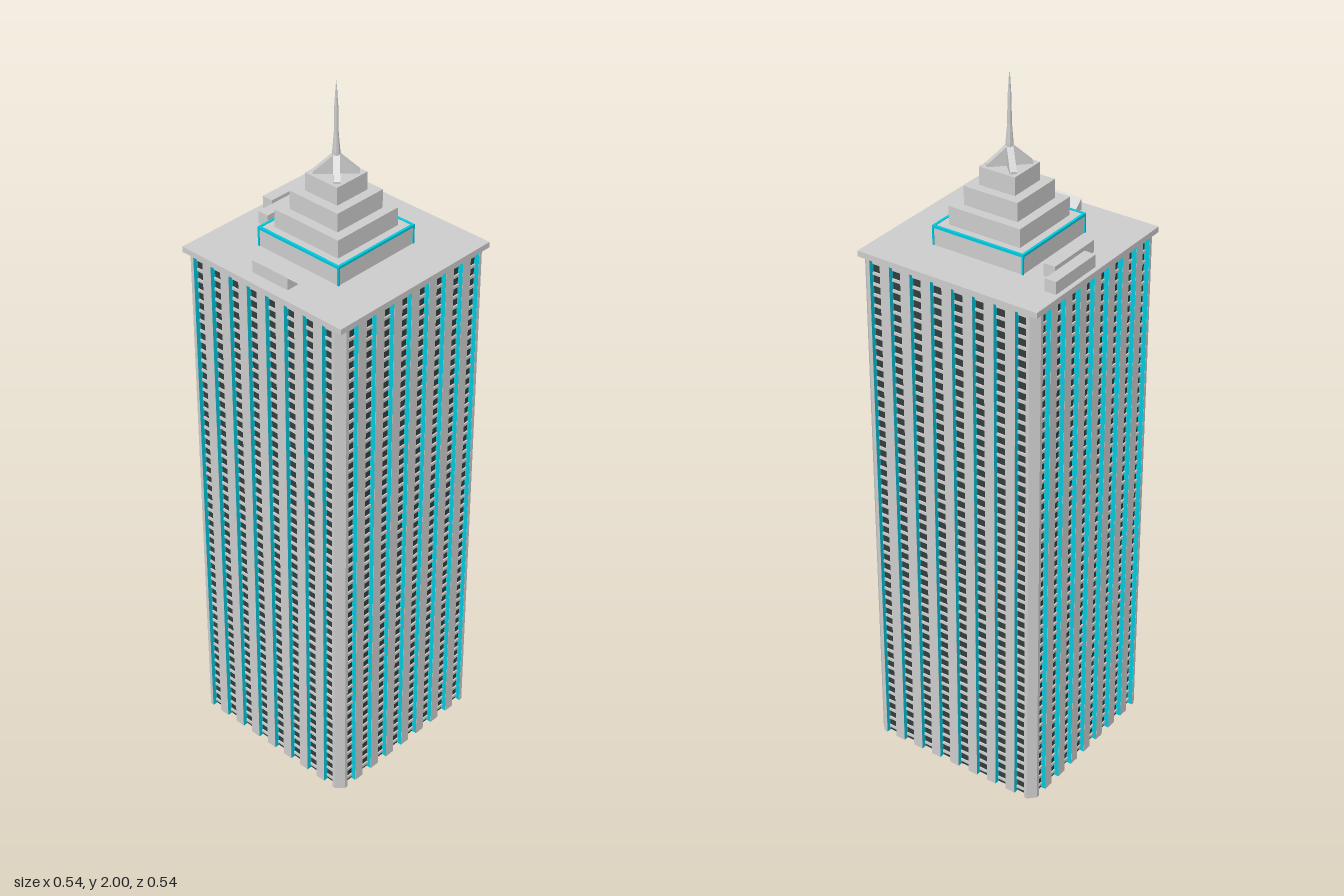
import * as THREE from 'three';
import { mergeGeometries } from 'three/addons/utils/BufferGeometryUtils.js';

const H = 1.53;        // shaft height
const R = 0.267;       // shaft half width
const DEPTH = 0.015;   // how far the piers stand out
const CORE = R - DEPTH;
const PITCH = 0.0635;  // window bay spacing
const PIER = 0.029;    // pier width
const FLOORS = 50;

const grey = new THREE.MeshStandardMaterial({ color: 0xcccccc, flatShading: true });
const cyan = new THREE.MeshStandardMaterial({ color: 0x00c8dc });
const dark = new THREE.MeshStandardMaterial({ color: 0x343c3c });

// Box standing on y0
function box(w, h, d, x, y0, z) {
  return new THREE.BoxGeometry(w, h, d).translate(x, y0 + h / 2, z);
}

// Repeats geometries around the four sides and merges them
function fourSides(list) {
  const out = [];
  for (let i = 0; i < 4; i++) {
    for (const g of list) out.push(g.clone().rotateY(i * Math.PI / 2));
  }
  return mergeGeometries(out);
}

export function createModel() {
  const group = new THREE.Group();
  const add = (name, geometry, material = grey) => {
    const mesh = new THREE.Mesh(geometry, material);
    mesh.name = name;
    group.add(mesh);
  };

  // Dark glass shaft with a ledge at every floor
  add('windowCore', box(2 * CORE, H, 2 * CORE, 0, 0, 0), dark);
  const ledges = [];
  const step = H / FLOORS;
  const ledgeSize = 2 * (CORE + 0.004);
  for (let i = 0; i < FLOORS; i++) {
    ledges.push(box(ledgeSize, 0.008, ledgeSize, 0, (i + 0.5) * step - 0.004, 0));
  }
  add('floorLedges', mergeGeometries(ledges));

  // Vertical piers with coloured flanks
  const piers = [], flanks = [];
  const flank = (x, side) => {
    flanks.push(new THREE.PlaneGeometry(DEPTH, H)
      .rotateY(side * Math.PI / 2)
      .translate(x + side * 0.0006, H / 2, CORE + DEPTH / 2));
  };
  for (let i = -3; i <= 3; i++) {
    const x = i * PITCH;
    piers.push(box(PIER, H, DEPTH + 0.005, x, 0, R - (DEPTH + 0.005) / 2));
    flank(x + PIER / 2, 1);
    flank(x - PIER / 2, -1);
  }
  const inner = 4 * PITCH - PIER / 2 - 0.002;
  flank(inner, -1);
  flank(-inner, 1);
  add('piers', fourSides(piers));
  add('pierFlanks', fourSides(flanks), cyan);

  // Chamfered corner piers
  const cut = 0.247;
  const corner = new THREE.Shape([
    [inner, inner], [R, inner], [R, cut], [cut, R], [inner, R],
  ].map(([x, y]) => new THREE.Vector2(x, y)));
  const cornerGeo = new THREE.ExtrudeGeometry(corner, { depth: H, bevelEnabled: false })
    .rotateX(-Math.PI / 2);
  add('cornerPiers', fourSides([cornerGeo]));

  // Roof slab and stepped crown
  add('roofSlab', box(0.542, 0.016, 0.542, 0, 1.528, 0));
  const tiers = [[0.136, 1.54, 1.597], [0.108, 1.597, 1.648], [0.081, 1.648, 1.7], [0.054, 1.7, 1.75]];
  tiers.forEach(([r, y0, y1], i) => {
    add('crownTier' + (i + 1), box(2 * r, y1 - y0, 2 * r, 0, y0, 0));
  });

  // Coloured edging on the lowest tier
  add('crownTrim', fourSides([
    box(0.276, 0.007, 0.007, 0, 1.592, 0.1345),
    box(0.005, 0.05, 0.005, 0.1355, 1.543, 0.1355),
  ]), cyan);

  // Triangular buttresses on the diagonals
  const fin = new THREE.Shape();
  fin.moveTo(0, 1.75);
  fin.lineTo(0.058, 1.75);
  fin.lineTo(0.058, 1.756);
  fin.lineTo(0.006, 1.803);
  fin.lineTo(0, 1.803);
  const finGeo = new THREE.ExtrudeGeometry(fin, { depth: 0.017, bevelEnabled: false })
    .translate(0, 0, -0.0085).rotateY(Math.PI / 4);
  add('spireButtresses', fourSides([finGeo]));

  // Tapering spire
  const profile = [[0.01, 1.75], [0.01, 1.81], [0.006, 1.86], [0.005, 1.93], [0.002, 1.98], [0, 2]]
    .map(([r, y]) => new THREE.Vector2(r, y));
  add('spire', new THREE.LatheGeometry(profile, 8));

  // Rooftop plant boxes and a sloped hatch
  add('roofUnitInner', box(0.171, 0.036, 0.033, 0.025, 1.543, -0.1965));
  add('roofUnitOuter', box(0.172, 0.036, 0.033, 0.086, 1.543, -0.2415));
  const wedge = new THREE.Shape();
  wedge.moveTo(-0.235, 1.543);
  wedge.lineTo(-0.2, 1.543);
  wedge.lineTo(-0.2, 1.547);
  wedge.lineTo(-0.235, 1.578);
  add('roofHatch', new THREE.ExtrudeGeometry(wedge, { depth: 0.12, bevelEnabled: false })
    .translate(0, 0, -0.06));

  return group;
}
